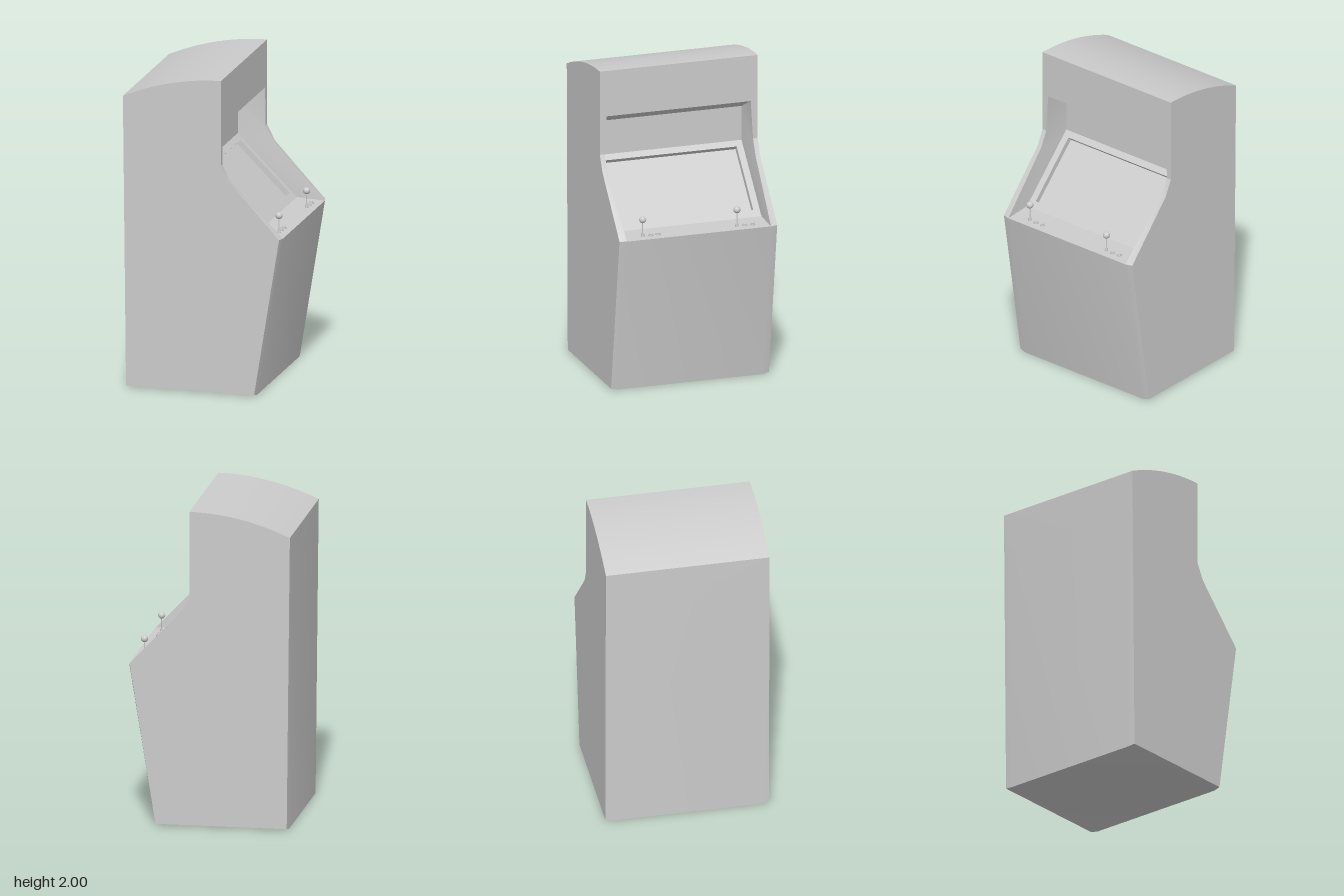
import * as THREE from 'three';
import { toCreasedNormals } from 'three/addons/utils/BufferGeometryUtils.js';

const HALF = 0.515;   // outer half width
const INNER = 0.47;   // half width between the side walls

const material = new THREE.MeshStandardMaterial({ color: 0xcccccc });
const shellMaterial = new THREE.MeshStandardMaterial({ color: 0xcccccc, side: THREE.DoubleSide });

function add(parent, name, geometry, mat = material) {
  const mesh = new THREE.Mesh(geometry, mat);
  mesh.name = name;
  parent.add(mesh);
  return mesh;
}

// Skin stretched over rows of [x, y, z] points
function sheet(rows) {
  const n = rows[0].length;
  const index = [];
  for (let r = 0; r < rows.length - 1; r++) {
    for (let i = 0; i < n - 1; i++) {
      const a = r * n + i, b = a + n;
      index.push(a, a + 1, b + 1, a, b + 1, b);
    }
  }
  const g = new THREE.BufferGeometry();
  g.setAttribute('position', new THREE.Float32BufferAttribute(rows.flat(2), 3));
  g.setIndex(index);
  return toCreasedNormals(g, 0.4);
}

const at = (path, z) => path.map(([x, y]) => [x, y, z]);

export function createModel() {
  const model = new THREE.Group();
  model.name = 'arcadeCabinet';

  // Domed top, from the marquee to the back
  const dome = [];
  for (let i = 0; i <= 12; i++) {
    const d = 0.63 * i / 12;
    dome.push([0.12 - d, 2 - 0.14 * (d / 0.63) ** 2]);
  }

  // Outer skin: marquee, dome, back, base and front, eased at the side edges
  const skin = [[0.12, 1.705], ...dome, [-0.51, 1.6], [-0.497, 0], [0.34, 0], [0.505, 1.01]];
  const skinEdge = [[0.12, 1.705], ...dome, [-0.507, 1.6], [-0.49, 0.008], [0.333, 0.008], [0.493, 1.01]];
  add(model, 'cabinetShell', sheet([
    at(skinEdge, -HALF), at(skin, -INNER), at(skin, INNER), at(skinEdge, HALF),
  ]), shellMaterial);

  // Side walls with a rim and a slightly flared inner face
  const rimOuter = [[0.493, 1.01], [0.17, 1.36], [0.12, 1.46], [0.12, 1.705]];
  const rimInner = [[0.505, 1.01, INNER], [0.17, 1.36, 0.485], [0.12, 1.46, 0.485], [0.12, 1.705, INNER]];
  const recess = [[0.325, 1.02], [-0.055, 1.4], [-0.055, 1.62], [0.12, 1.705]];
  const outline = [...skinEdge, ...rimOuter.slice(1, 3)].map(([x, y]) => new THREE.Vector2(x, y));
  for (const s of [1, -1]) {
    const side = new THREE.Group();
    side.name = s > 0 ? 'sideWallFront' : 'sideWallBack';
    model.add(side);

    const face = new THREE.ShapeGeometry(new THREE.Shape(outline));
    face.translate(0, 0, s * HALF);
    if (s < 0) face.index.array.reverse();
    face.computeVertexNormals();
    add(side, 'sidePanel', face);

    const rows = [at(recess, s * INNER), rimInner.map(([x, y, z]) => [x, y, s * z]), at(rimOuter, s * HALF)];
    if (s < 0) rows.reverse();
    add(side, 'sideRim', sheet(rows), shellMaterial);
  }

  // Control panel, and the back wall and hood above the screen
  const span = (path) => sheet([at(path, -INNER), at(path, INNER)]);
  add(model, 'controlPanel', span([[0.505, 1.01], recess[0]]), shellMaterial);
  add(model, 'hood', span(recess.slice(1)), shellMaterial);

  // Screen and bezel, leaning back at 45 degrees
  const display = new THREE.Group();
  display.name = 'display';
  display.position.set(0.325, 1.02, 0);
  // local x runs across the cabinet, local y up the slope, local z outwards
  const k = Math.SQRT1_2;
  display.setRotationFromMatrix(new THREE.Matrix4().makeBasis(
    new THREE.Vector3(0, 0, -1), new THREE.Vector3(-k, k, 0), new THREE.Vector3(k, k, 0)));
  model.add(display);
  const rect = (T, w, y0, y1) => new T([[-w, y0], [w, y0], [w, y1], [-w, y1]].map((p) => new THREE.Vector2(...p)));
  const bezel = rect(THREE.Shape, INNER, 0, 0.537);
  bezel.holes.push(rect(THREE.Path, 0.428, 0.049, 0.495));
  add(display, 'bezel', new THREE.ExtrudeGeometry(bezel, { depth: 0.035, bevelEnabled: false }).translate(0, 0, -0.035));
  add(display, 'screen', new THREE.PlaneGeometry(0.87, 0.46)).position.set(0, 0.272, -0.0345);

  // Two sets of controls: a joystick and two buttons each
  for (const [i, z] of [0.347, -0.268].entries()) {
    const controls = new THREE.Group();
    controls.name = 'controls' + (i + 1);
    controls.position.set(0.445, 1.013, z);
    model.add(controls);
    add(controls, 'joystickBase', new THREE.CylinderGeometry(0.009, 0.011, 0.022, 16)).position.y = 0.01;
    add(controls, 'joystickShaft', new THREE.CylinderGeometry(0.003, 0.003, 0.1, 10)).position.y = 0.055;
    add(controls, 'joystickBall', new THREE.SphereGeometry(0.022, 24, 16)).position.y = 0.108;
    for (const dz of [-0.052, -0.102]) {
      add(controls, 'buttonCollar', new THREE.CylinderGeometry(0.016, 0.017, 0.01, 20)).position.set(0, 0.003, dz);
      add(controls, 'button', new THREE.CylinderGeometry(0.011, 0.011, 0.016, 20)).position.set(0, 0.006, dz);
    }
  }
  return model;
}
